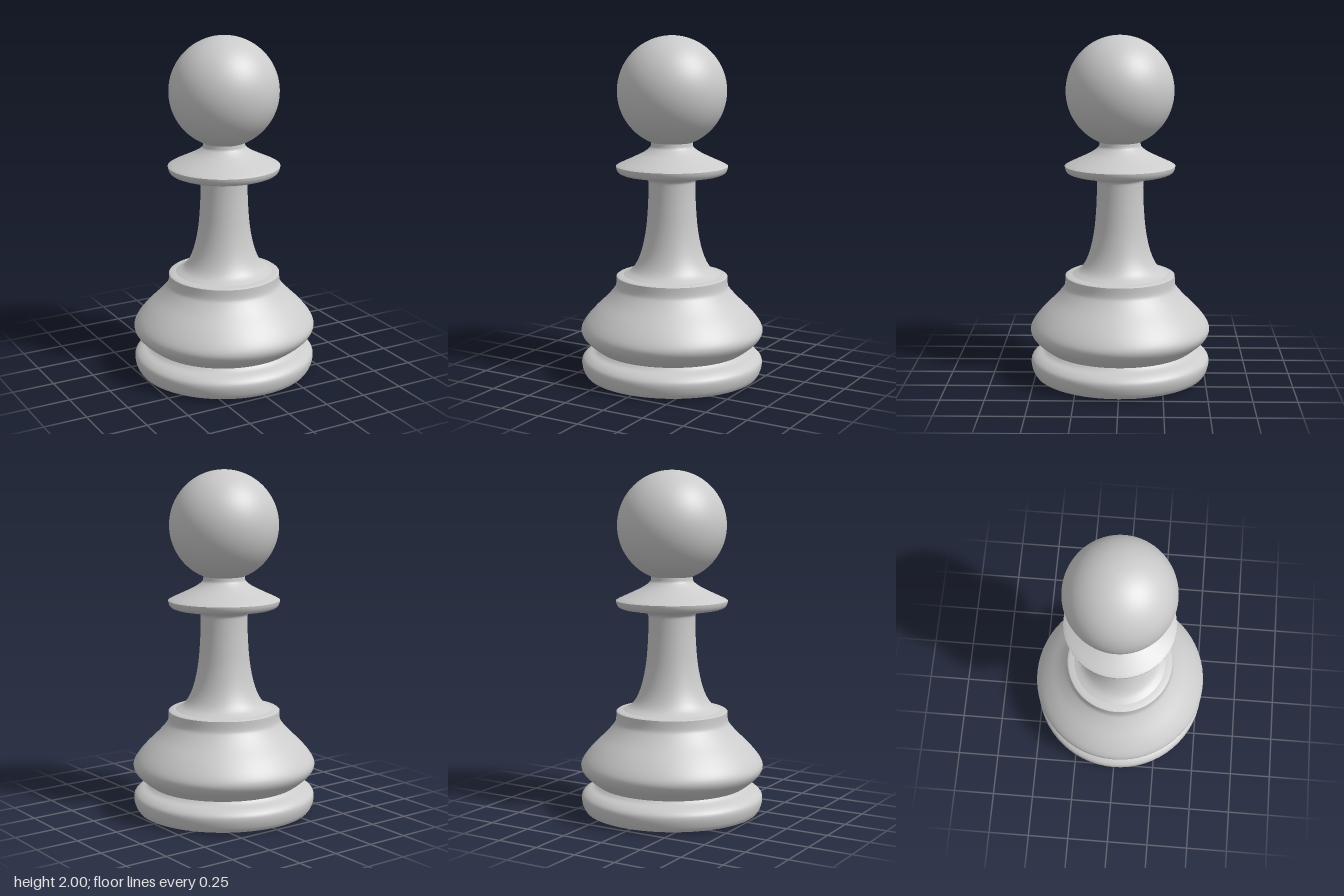
import * as THREE from 'three';

const SEGMENTS = 64;
const material = new THREE.MeshStandardMaterial({ color: 0xcccccc, side: THREE.DoubleSide });

const toPoints = (profile) => profile.map(([r, y]) => new THREE.Vector2(r, y));

// Smooth curve through a few [radius, height] points
function curve(profile, steps = 24) {
  const points = new THREE.SplineCurve(toPoints(profile)).getPoints(steps);
  points.forEach((p) => { p.x = Math.max(p.x, 0); });
  return points;
}

// Each turned section is its own mesh, so edges between sections stay sharp
function turned(name, points) {
  const mesh = new THREE.Mesh(new THREE.LatheGeometry(points, SEGMENTS), material);
  mesh.name = name;
  return mesh;
}

export function createModel() {
  const pawn = new THREE.Group();
  pawn.name = 'pawn';

  // Foot: nearly flat underside, rounded rim, groove above it
  pawn.add(turned('underside', toPoints([[0, 0], [0.1, 0.004], [0.49, 0.01], [0.51, 0.015]])));
  pawn.add(turned('baseRim', curve([
    [0.51, 0.015], [0.525, 0.04], [0.535, 0.08], [0.53, 0.112], [0.5, 0.138], [0.46, 0.155], [0.44, 0.172],
  ])));

  // Bulging body, rising to a short upright lip
  pawn.add(turned('body', curve([
    [0.44, 0.172], [0.475, 0.198], [0.52, 0.24], [0.537, 0.285], [0.515, 0.335],
    [0.46, 0.4], [0.39, 0.468], [0.345, 0.52], [0.33, 0.55], [0.327, 0.602],
  ], 36)));
  pawn.add(turned('bodyLip', toPoints([[0.327, 0.602], [0.318, 0.608], [0.285, 0.612]])));

  // Tapering stem, flared at both ends
  pawn.add(turned('stem', curve([
    [0.285, 0.612], [0.24, 0.637], [0.205, 0.685], [0.175, 0.765], [0.152, 0.88],
    [0.14, 1.02], [0.137, 1.14], [0.142, 1.172], [0.165, 1.188],
  ], 36)));

  // Collar: flat underside, rounded edge, concave cone on top
  pawn.add(turned('collarUnderside', toPoints([[0.165, 1.188], [0.25, 1.198], [0.29, 1.205]])));
  pawn.add(turned('collarEdge', curve([[0.29, 1.205], [0.312, 1.215], [0.323, 1.235], [0.326, 1.252]], 8)));
  pawn.add(turned('collarTop', curve([
    [0.326, 1.252], [0.305, 1.264], [0.235, 1.296], [0.17, 1.328], [0.13, 1.357], [0.122, 1.372],
  ])));
  pawn.add(turned('neck', toPoints([[0.122, 1.372], [0.12, 1.39]])));

  // Ball head, cut off where it meets the neck
  const radius = 0.317, centre = 1.683;
  const start = Math.asin(0.12 / radius);
  const head = [];
  for (let i = 0; i <= 32; i++) {
    const a = start + (Math.PI - start) * (i / 32);
    head.push(new THREE.Vector2(Math.max(radius * Math.sin(a), 0), centre - radius * Math.cos(a)));
  }
  pawn.add(turned('head', head));

  // Slightly narrower front to back than side to side
  pawn.scale.z = 0.982;
  return pawn;
}
